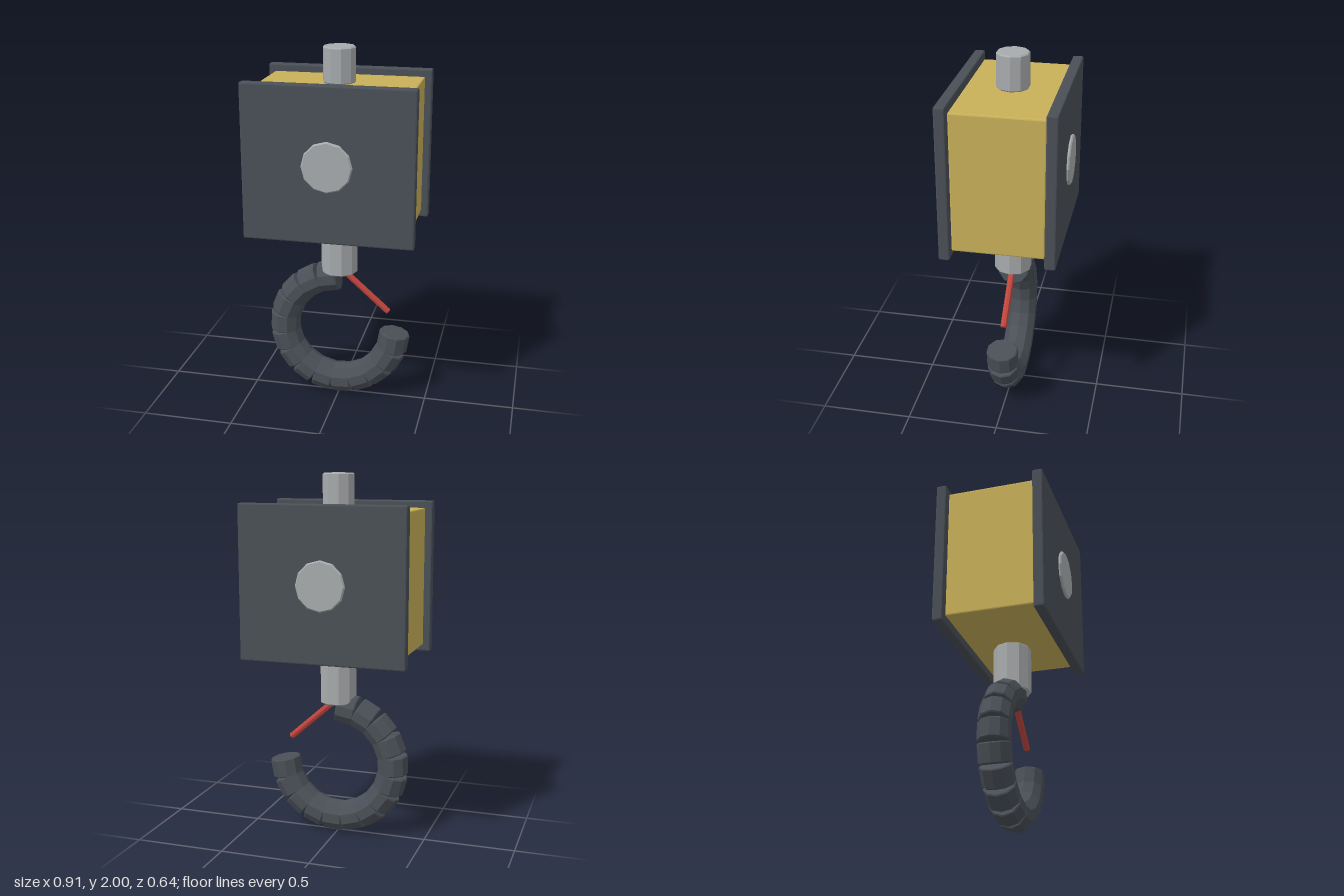
import * as THREE from 'three';
import { RoundedBoxGeometry } from 'three/addons/geometries/RoundedBoxGeometry.js';

function material(name, color) {
  const m = new THREE.MeshStandardMaterial({ color, flatShading: true });
  m.name = name;
  return m;
}

// Faceted cylinder along y, centred, with a small chamfer on both rims
function chamferedCylinder(radius, height, sides, chamfer) {
  const h = height / 2;
  const profile = [
    [0, -h], [radius - chamfer, -h], [radius, -h + chamfer],
    [radius, h - chamfer], [radius - chamfer, h], [0, h],
  ].map(([x, y]) => new THREE.Vector2(x, y));
  return new THREE.LatheGeometry(profile, sides, Math.PI / 2);
}

export function createModel() {
  const model = new THREE.Group();
  model.name = 'hookBlock';
  const yellow = material('yellowPaint', 0xc8b058);
  const dark = material('darkIron', 0x4a5057);
  const steel = material('steel', 0xa8abad);
  const red = material('redPaint', 0xc0453c);

  function add(name, geometry, mat, x, y, z, parent = model) {
    const mesh = new THREE.Mesh(geometry, mat);
    mesh.name = name;
    mesh.position.set(x, y, z);
    parent.add(mesh);
    return mesh;
  }

  // Block body with a cheek plate and axle cap on each face
  add('body', new RoundedBoxGeometry(0.834, 0.756, 0.486, 1, 0.008), yellow, 0, 1.432, 0);
  for (const [side, s] of [['front', 1], ['back', -1]]) {
    add(side + 'Plate', new RoundedBoxGeometry(0.91, 0.832, 0.058, 1, 0.008), dark, 0, 1.432, s * 0.274);
    const cap = add(side + 'AxleCap', chamferedCylinder(0.135, 0.06, 12, 0.007), steel, 0, 1.432, s * 0.288);
    cap.rotation.x = Math.PI / 2;
  }

  // Top pin and the hook's shank
  add('topPin', chamferedCylinder(0.088, 0.19, 10, 0.007), steel, 0, 1.905, 0);
  add('shank', chamferedCylinder(0.103, 0.263, 10, 0.006), steel, 0, 0.882, 0);

  // Hook: short segments along an arc, wedge gaps opening outwards
  const hook = new THREE.Group();
  hook.name = 'hook';
  model.add(hook);
  const segment = chamferedCylinder(0.087, 0.107, 10, 0.006);
  const arcRadius = 0.315, count = 14;
  for (let i = 0; i < count; i++) {
    const a = THREE.MathUtils.degToRad(100.5 + (249.5 * i) / (count - 1));
    const link = add('hookSegment' + (i + 1), segment, dark,
      arcRadius * Math.cos(a), 0.404 + arcRadius * Math.sin(a), 0, hook);
    link.rotation.z = a;
  }

  // Safety latch slanting across the hook's mouth
  const from = new THREE.Vector3(0.005, 0.769, 0), to = new THREE.Vector3(0.282, 0.524, 0);
  const dir = to.clone().sub(from);
  const mid = from.clone().add(to).multiplyScalar(0.5);
  const latch = add('safetyLatch', chamferedCylinder(0.018, dir.length(), 8, 0.004), red, mid.x, mid.y, 0);
  latch.quaternion.setFromUnitVectors(new THREE.Vector3(0, 1, 0), dir.normalize());

  return model;
}
